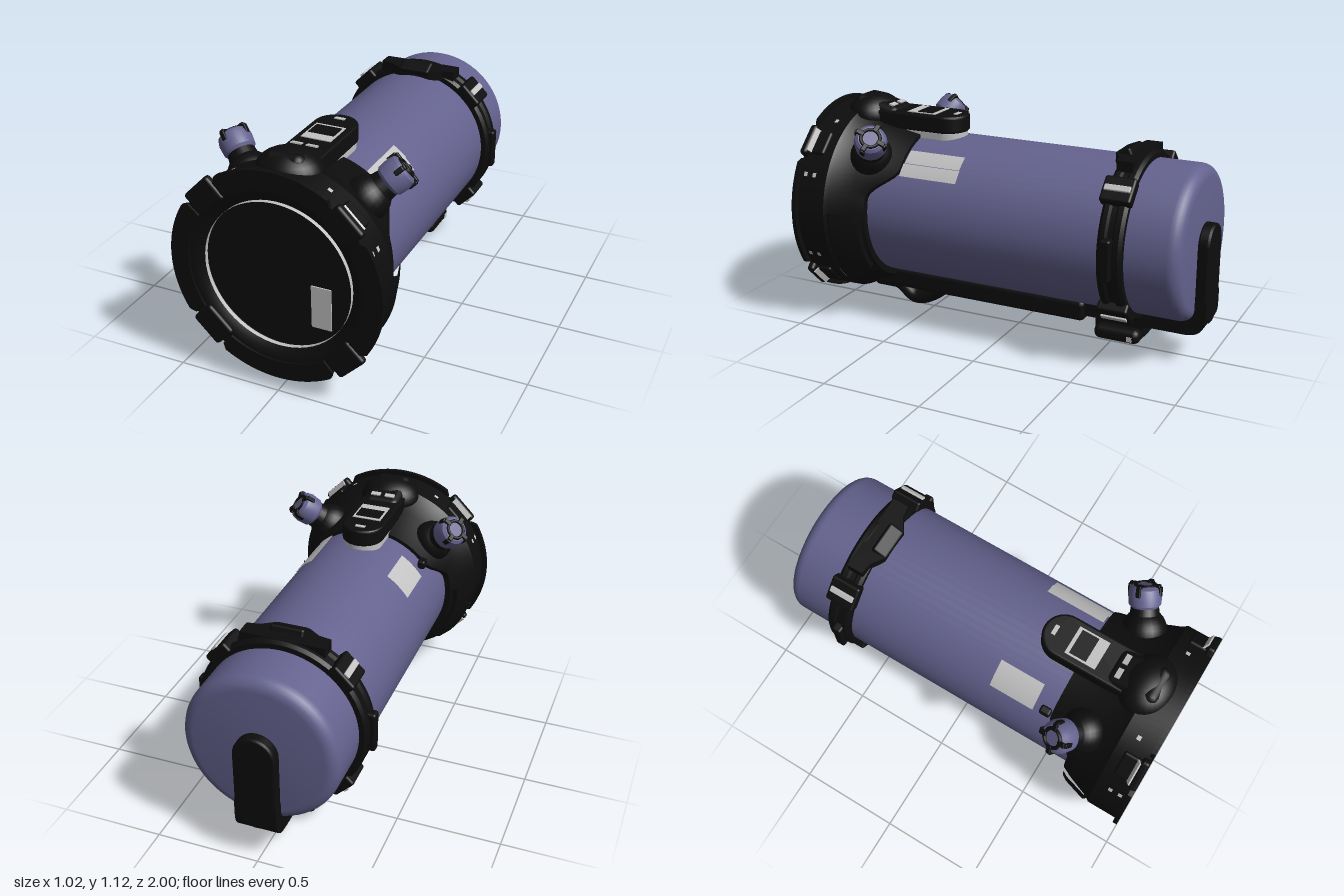
import * as THREE from 'three';
import { toCreasedNormals } from 'three/addons/utils/BufferGeometryUtils.js';
import { RoundedBoxGeometry } from 'three/addons/geometries/RoundedBoxGeometry.js';

const CY = 0.585; // height of the tube axis
const rad = THREE.MathUtils.degToRad;

export function createModel() {
  const mat = (name, color, side = THREE.FrontSide) => {
    const m = new THREE.MeshStandardMaterial({ color, side });
    m.name = name;
    return m;
  };
  const black = mat('black plastic', 0x0d0d0d);
  const purple = mat('purple shell', 0x64628e);
  const grey = mat('light grey', 0xc2c2c2, THREE.DoubleSide);

  const model = new THREE.Group();
  const add = (name, geo, material, x = 0, y = 0, z = 0, parent = model) => {
    const m = new THREE.Mesh(geo, material);
    m.name = name;
    m.position.set(x, y, z);
    parent.add(m);
    return m;
  };
  const rbox = (w, h, d, r = 0.012) => new RoundedBoxGeometry(w, h, d, 2, Math.min(r, w / 2.1, h / 2.1, d / 2.1));

  // Surface turned about the z axis from [radius, z] points; angles in degrees from +x
  const turned = (pts, a0 = -90, a1 = 270, seg = 64) => {
    const g = new THREE.LatheGeometry(pts.map(p => new THREE.Vector2(...p)), seg, rad(a0 + 90), rad(a1 - a0));
    return g.rotateX(Math.PI / 2);
  };
  const crease = g => toCreasedNormals(g, rad(32));
  const patch = (name, r, z0, z1, a0, a1, material = grey) =>
    add(name, turned([[r, z0], [r, z1]], a0, a1, 8), material, 0, CY);

  // Group placed on the tube at an angle: local x is radial, local y tangential
  const station = (name, deg) => {
    const g = new THREE.Group();
    g.name = name;
    g.position.y = CY;
    g.rotation.z = rad(deg);
    model.add(g);
    return g;
  };

  // Capsule outline (half width w, from v0 to v1) extruded by depth
  const capsule = (w, v0, v1, depth, bevel = 0.012) => {
    const s = new THREE.Shape(), k = w - bevel;
    s.absarc(0, v1 - w, k, 0, Math.PI);
    s.absarc(0, v0 + w, k, Math.PI, 2 * Math.PI);
    const g = new THREE.ExtrudeGeometry(s, {
      depth: depth - 2 * bevel, bevelSize: bevel, bevelThickness: bevel, bevelSegments: 3, curveSegments: 16,
    });
    return g.translate(0, 0, bevel);
  };

  // Main tube with rounded rear end
  const tube = [[0, -0.945], [0.31, -0.945]];
  for (let i = 1; i <= 6; i++) {
    const t = i / 6 * Math.PI / 2;
    tube.push([0.31 + 0.06 * Math.sin(t), -0.885 - 0.06 * Math.cos(t)]);
  }
  tube.push([0.37, 0.7]);
  add('tube', crease(turned(tube)), purple, 0, CY);

  // Front housing: its rear edge reaches further back over the top
  const housing = turned([[0.366, 0.65], [0.4, 0.65], [0.425, 0.7], [0.468, 0.81], [0.484, 0.83], [0.484, 0.99],
    [0.41, 0.99], [0.385, 0.982], [0.362, 0.96], [0.35, 0.95], [0, 0.95]], -90, 270, 96);
  const p = housing.attributes.position;
  for (let i = 0; i < p.count; i++) {
    if (p.getZ(i) > 0.66) continue;
    const x = p.getX(i), y = p.getY(i), r = Math.hypot(x, y);
    const t = THREE.MathUtils.smoothstep(Math.asin(y / r), rad(15), rad(40));
    const k = r > 0.38 ? 1 - 0.03 * t : 1;
    p.setXYZ(i, x * k, y * k, 0.65 - 0.15 * t);
  }
  add('housing', crease(housing), black, 0, CY);
  add('apertureRing', turned([[0.352, 0.95], [0.352, 0.972]]), grey, 0, CY);
  add('frontLabel', new THREE.BoxGeometry(0.095, 0.205, 0.006), grey, 0.203, 0.468, 0.954);

  // Front flange in four sectors, with clips between them
  for (let q = 0; q < 4; q++) {
    const s = new THREE.Shape();
    s.absarc(0, 0, 0.508, rad(-31), rad(31), false);
    s.lineTo(0.485 * Math.cos(rad(34)), 0.485 * Math.sin(rad(34)));
    s.absarc(0, 0, 0.42, rad(33), rad(-33), true);
    s.lineTo(0.485 * Math.cos(rad(34)), -0.485 * Math.sin(rad(34)));
    const g = new THREE.ExtrudeGeometry(s, { depth: 0.022, bevelEnabled: false, curveSegments: 10 });
    const flange = add('flangeSector', g, black, 0, 0, 0.978, station('flange', q * 90));
    flange.castShadow = false;

    const clip = station('frontClip', 45 + q * 90);
    add('clipBody', rbox(0.125, 0.165, 0.04, 0.015), black, 0.455, 0, 0.98, clip);
    add('clipArm', rbox(0.06, 0.13, 0.1), black, 0.465, 0, 0.925, clip);
    const back = add('clipBackPlate', new THREE.BoxGeometry(0.035, 0.125, 0.008), grey, 0.502, 0, 0.952, clip);
    back.rotation.y = -0.5;
  }

  // Small light markers around the housing
  for (const a of [25, 62, 118, 155, 205, 242, 298, 335]) {
    patch('marker', 0.487, 0.89, 0.91, a - 1.3, a + 1.3);
    if (a % 5 === 0) patch('marker', 0.487, 0.94, 0.96, a - 1.3, a + 1.3);
  }
  for (const a of [-42, 222]) patch('lowerMarker', 0.478, 0.82, 0.825, a - 5, a + 5);

  // Raised side pads on the housing
  for (const a of [-18, 198]) {
    const pad = [[0.38, 0.665], [0.435, 0.665], [0.452, 0.69], [0.486, 0.8], [0.47, 0.82]];
    add('sidePad', crease(turned(pad, a - 22, a + 22, 12)), black, 0, CY);
  }

  // Knobs on domed mounts
  for (const s of [-1, 1]) {
    const d = new THREE.Vector3(0.66 * s, 0.62, -0.42).normalize();
    const knob = new THREE.Group();
    knob.name = 'knob';
    knob.position.set(0.425 * s, 1.01, 0.575);
    knob.quaternion.setFromUnitVectors(new THREE.Vector3(0, 1, 0), d);
    model.add(knob);
    add('mountDome', new THREE.SphereGeometry(0.105, 24, 16), black, 0, -0.215, 0, knob);
    add('stem', new THREE.CylinderGeometry(0.06, 0.08, 0.14, 24), black, 0, -0.14, 0, knob);
    const prof = [[0, -0.115], [0.055, -0.115], [0.075, -0.09], [0.079, -0.04], [0.072, -0.012], [0.058, 0], [0, 0]];
    add('knobBody', crease(new THREE.LatheGeometry(prof.map(v => new THREE.Vector2(...v)), 32)), purple, 0, 0, 0, knob);
    add('knobRing', new THREE.TorusGeometry(0.045, 0.009, 8, 28).rotateX(Math.PI / 2), black, 0, 0, 0, knob);
    for (let i = 0; i < 4; i++) {
      const claw = new THREE.Group();
      claw.name = 'knobClaw';
      claw.rotation.y = i * Math.PI / 2;
      knob.add(claw);
      add('clawTop', rbox(0.04, 0.016, 0.024, 0.005), black, 0.056, 0.002, 0, claw);
      add('clawSide', rbox(0.014, 0.045, 0.024, 0.005), black, 0.076, -0.022, 0, claw);
    }
  }

  // Control panel on top (capsule laid flat, long axis along z)
  const flat = (name, geo, material, y) => { add(name, geo.rotateX(-Math.PI / 2), material, 0, y, 0); };
  flat('controlPanel', capsule(0.105, -0.88, -0.285, 0.085), black, 0.977);
  flat('panelBase', capsule(0.095, -0.7, -0.295, 0.04, 0.004), grey, 0.94);
  const hump = add('panelHump', new THREE.SphereGeometry(1, 28, 16), black, 0, 1.02, 0.82);
  hump.scale.set(0.155, 0.105, 0.13);
  const cowl = add('panelCowl', rbox(0.19, 0.1, 0.26, 0.04), black, 0, 1.05, 0.77);
  cowl.rotation.x = -0.24;
  add('screenFrame', new THREE.BoxGeometry(0.145, 0.006, 0.155), grey, 0, 1.063, 0.505);
  add('screen', new THREE.BoxGeometry(0.125, 0.006, 0.085), black, 0, 1.066, 0.488);
  add('button', new THREE.BoxGeometry(0.05, 0.006, 0.02), grey, 0, 1.063, 0.34);
  for (const x of [-0.037, 0.037]) {
    const b = add('button', new THREE.BoxGeometry(0.05, 0.008, 0.025), grey, x, 1.083, 0.685);
    b.rotation.x = -0.24;
  }

  // Labels on the tube
  patch('rightLabel', 0.374, 0.19, 0.5, 35.5, 46);
  patch('rightLabelUpper', 0.379, 0.19, 0.49, 46, 58);
  patch('leftLabel', 0.375, 0.18, 0.41, 122, 144.5);
  add('sensor', rbox(0.04, 0.045, 0.055), black, -0.29, 0.845, 0.47);

  // Rear clamp ring with buckles
  const ring = [[0.365, -0.69], [0.395, -0.69], [0.408, -0.675], [0.408, -0.65], [0.395, -0.64],
    [0.395, -0.615], [0.408, -0.605], [0.408, -0.585], [0.395, -0.57], [0.365, -0.57]];
  add('clampRing', crease(turned(ring)), black, 0, CY);
  for (let q = 0; q < 4; q++) {
    const buckle = station('buckle', 45 + q * 90);
    add('buckleBlock', rbox(0.055, 0.13, 0.15), black, 0.408, 0, -0.63, buckle);
    add('buckleStrap', rbox(0.03, 0.03, 0.125, 0.004), grey, 0.43, 0, -0.63, buckle);
  }
  for (const a of [0, 180]) {
    const lug = station('clampLug', a);
    add('lugBlock', rbox(0.05, 0.2, 0.05), black, 0.403, 0, -0.62, lug);
  }
  // Clamp lever on top
  const lever = new THREE.Shape([[-0.2, 0.66], [-0.2, 0.58], [-0.14, 0.57], [-0.08, 0.53],
    [0.08, 0.53], [0.14, 0.57], [0.2, 0.58], [0.2, 0.66]].map(v => new THREE.Vector2(...v)));
  flat('clampLever', new THREE.ExtrudeGeometry(lever, { depth: 0.05, bevelEnabled: false }), black, 0.938);
  const tab = add('leverTab', rbox(0.16, 0.05, 0.08), black, 0, 0.98, -0.568);
  tab.rotation.x = 0.4;

  // Lower rail, foot block and rear strap
  add('lowerRail', rbox(0.24, 0.105, 1.2, 0.025), black, 0, 0.183, 0.2);
  add('railSpine', rbox(0.11, 0.05, 1.1, 0.02), black, 0, 0.15, 0.2);
  add('footBlock', rbox(0.31, 0.07, 0.23, 0.03), black, 0, 0.112, -0.58);
  add('footNeck', rbox(0.2, 0.12, 0.26, 0.02), black, 0, 0.16, -0.58);
  for (const x of [-0.06, 0.06]) add('footMarker', new THREE.BoxGeometry(0.035, 0.006, 0.03), grey, x, 0.075, -0.6);
  for (const x of [-0.154, 0.154]) add('footSideMarker', new THREE.BoxGeometry(0.006, 0.025, 0.025), grey, x, 0.105, -0.69 + 0.04);

  // Side profile of the strap that wraps under the rear corner (drawn as -z, y)
  const wrap = new THREE.Shape();
  wrap.moveTo(0.35, 0.16);
  wrap.lineTo(0.9, 0.16);
  wrap.quadraticCurveTo(1.0, 0.16, 1.0, 0.26);
  wrap.lineTo(1.0, 0.34);
  wrap.lineTo(0.93, 0.34);
  wrap.lineTo(0.9, 0.235);
  wrap.lineTo(0.35, 0.235);
  const wrapGeo = new THREE.ExtrudeGeometry(wrap, { depth: 0.2, bevelEnabled: false, curveSegments: 8 });
  add('rearCorner', crease(wrapGeo.translate(0, 0, -0.1).rotateY(Math.PI / 2)), black);
  add('rearStrap', capsule(0.1, 0.2, 0.69, 0.06), black, 0, 0, -1.0);

  // Carry handle under the front
  const path = new THREE.CatmullRomCurve3([[0.13, 0.74], [0.09, 0.68], [0.045, 0.62], [0.045, 0.57], [0.09, 0.48], [0.14, 0.42]]
    .map(([y, z]) => new THREE.Vector3(0, y, z)));
  add('handle', new THREE.TubeGeometry(path, 24, 0.036, 14), black);
  add('handleMount', rbox(0.16, 0.07, 0.16, 0.025), black, 0, 0.135, 0.74);

  return model;
}
